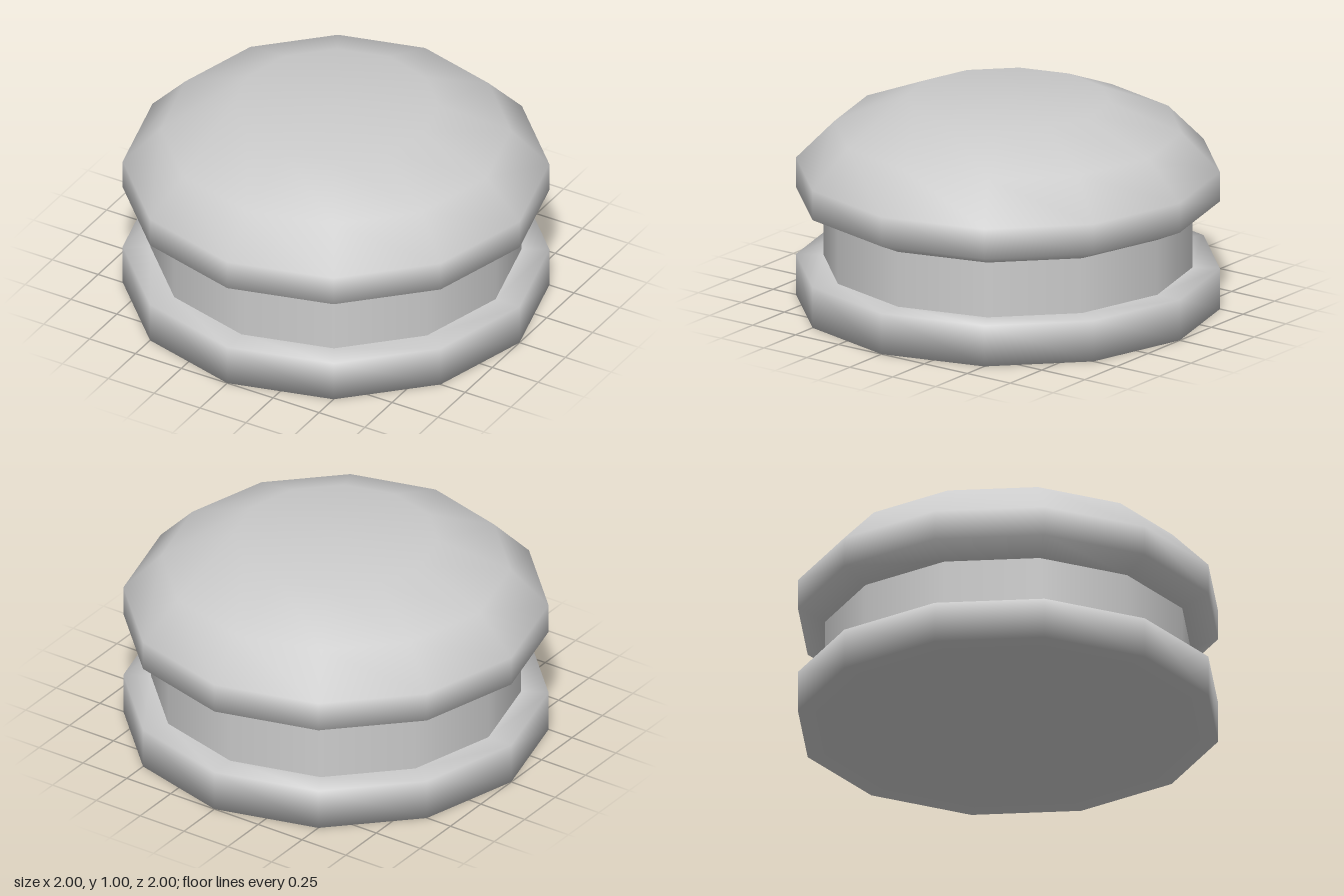
import * as THREE from 'three';

const SIDES = 12;

export function createModel() {
  const model = new THREE.Group();
  model.name = 'button';
  const material = new THREE.MeshStandardMaterial({ color: 0xcccccc });

  // Twelve-sided turned part; profile is [radius, height] from bottom to top
  function turned(name, profile) {
    const points = profile.map(([r, y]) => new THREE.Vector2(r, y));
    const mesh = new THREE.Mesh(new THREE.LatheGeometry(points, SIDES), material);
    mesh.name = name;
    model.add(mesh);
  }

  // Flat disc with a ledge around the neck
  turned('base', [[0, 0], [1, 0], [1, 0.2], [0.87, 0.2]]);

  // Straight recessed neck, with sharp edges at both ends
  turned('neck', [[0.87, 0.2], [0.87, 0.47]]);

  // Domed cap with a flared underside and flat top
  turned('cap', [
    [0.87, 0.47], [1, 0.53], [1, 0.675], [0.82, 0.86], [0.48, 1], [0, 1],
  ]);

  return model;
}
